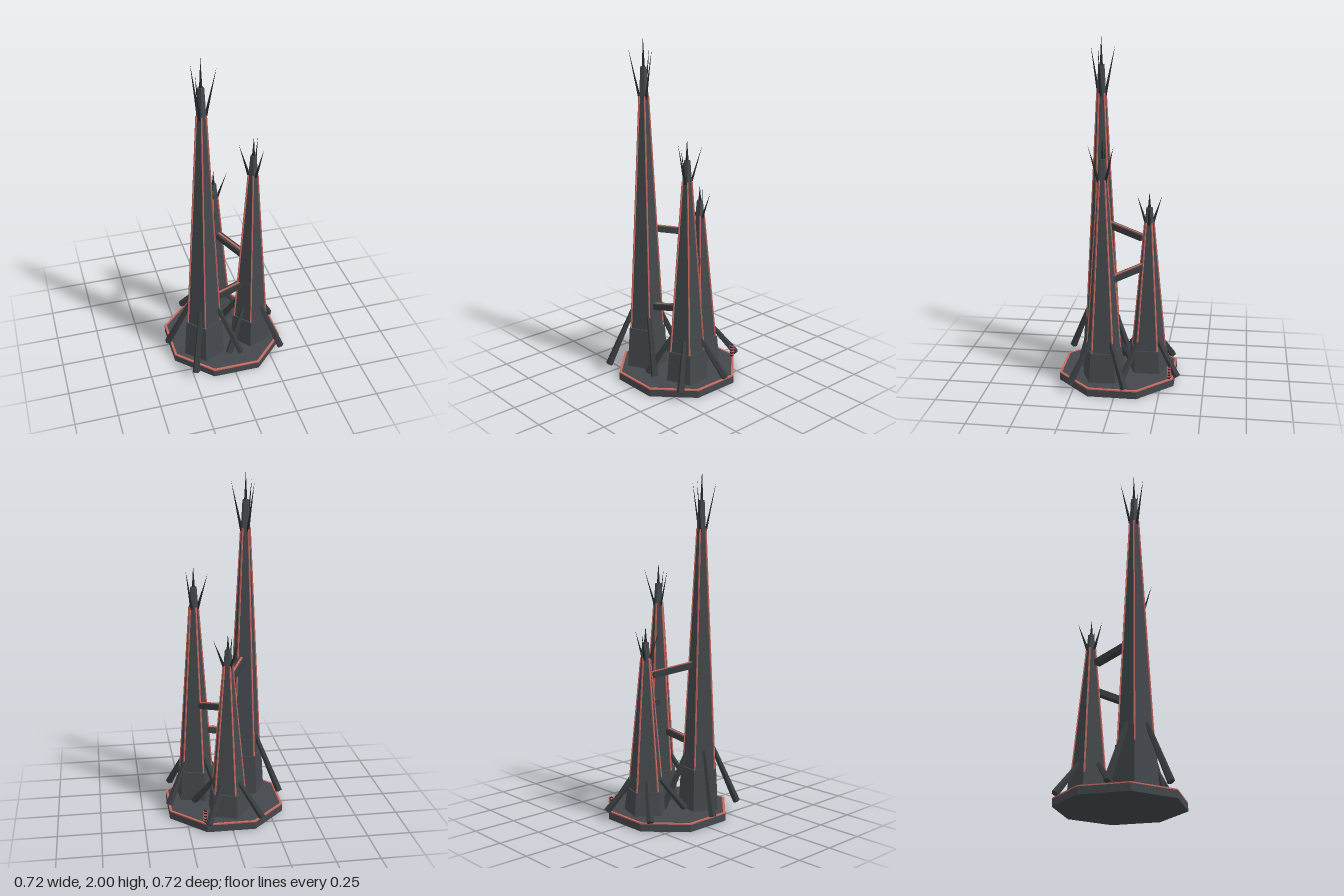
import * as THREE from 'three';

const makeMat = (name, color) => {
  const m = new THREE.MeshStandardMaterial({ color });
  m.name = name;
  return m;
};
const stone = makeMat('dark stone', 0x44484c);
const strut = makeMat('strut grey', 0x393d40);
const metal = makeMat('black metal', 0x25292b);
const trim = makeMat('red trim', 0xc8695e);

const rad = THREE.MathUtils.degToRad;
const BASE_TOP = 0.05;

function add(parent, name, geometry, material) {
  const mesh = new THREE.Mesh(geometry, material);
  mesh.name = name;
  parent.add(mesh);
  return mesh;
}

// Faceted prism or frustum with flat normals; angle is measured from +x towards +z
function prism(rTop, rBottom, y0, y1, sides, angle = 0) {
  const g = new THREE.CylinderGeometry(rTop, rBottom, y1 - y0, sides, 1, false, Math.PI / 2 - angle);
  g.translate(0, (y0 + y1) / 2, 0);
  const flat = g.toNonIndexed();
  flat.computeVertexNormals();
  return flat;
}

// Point at a radius, height and angle around the vertical axis
const polar = (r, y, a) => new THREE.Vector3(r * Math.cos(a), y, r * Math.sin(a));

// Tapered round-ish beam from a to b
function beam(parent, name, a, b, rA, rB, sides, material) {
  const dir = b.clone().sub(a);
  const mesh = add(parent, name, prism(rB, rA, 0, dir.length(), sides), material);
  mesh.position.copy(a);
  mesh.quaternion.setFromUnitVectors(new THREE.Vector3(0, 1, 0), dir.normalize());
  return mesh;
}

// Group whose z axis runs from a to b, with its origin half way
function between(parent, name, a, b) {
  const g = new THREE.Group();
  g.name = name;
  g.position.copy(a).lerp(b, 0.5);
  g.lookAt(b);
  parent.add(g);
  return g;
}

function makeBase() {
  const base = new THREE.Group();
  base.name = 'base';
  const k = 1 / Math.cos(Math.PI / 8);
  const a = Math.PI / 8;
  add(base, 'baseSlab', prism(0.338 * k, 0.338 * k, 0, 0.042, 8, a), stone);
  add(base, 'baseTrim', prism(0.338 * k, 0.338 * k, 0.042, 0.049, 8, a), trim);
  add(base, 'baseDeck', prism(0.324 * k, 0.324 * k, 0.043, BASE_TOP, 8, a), stone);
  base.position.set(0.008, 0, 0.012);
  return base;
}

function makeTower({ name, x, z, height, angle, clawAngle }) {
  const tower = new THREE.Group();
  tower.name = name;
  tower.position.set(x, BASE_TOP, z);
  const plinthTop = 0.135 * height;
  const rBody = 0.102, rTop = 0.019;

  add(tower, 'plinth', prism(0.113, 0.128, 0, plinthTop, 5, angle), stone);
  add(tower, 'shaft', prism(rTop, rBody, plinthTop, height, 5, angle), stone);
  add(tower, 'spire', prism(0, 0.009, height, 1.093 * height, 5, angle), metal);

  // Red ribs along the five shaft edges
  for (let i = 0; i < 5; i++) {
    const a = angle + i * Math.PI * 2 / 5;
    const p = polar(rBody, plinthTop, a);
    const q = polar(rTop + 0.1 * (rBody - rTop), height * 0.91, a);
    const rib = between(tower, 'rib', p, q);
    add(rib, 'ribStrip', new THREE.BoxGeometry(0.008, 0.008, p.distanceTo(q)), trim);
  }
  // Four leaning buttresses
  for (let i = 0; i < 4; i++) {
    const a = angle + i * Math.PI / 2;
    beam(tower, 'buttress', polar(0.228, 0.006, a), polar(0.075, 0.197 * height, a), 0.022, 0.014, 5, strut);
  }
  // Three claws flaring around the top
  for (let i = 0; i < 3; i++) {
    const a = clawAngle + i * Math.PI * 2 / 3;
    beam(tower, 'claw', polar(0.022, 0.9 * height, a), polar(0.083, 1.06 * height, a), 0.009, 0, 4, metal);
  }
  return tower;
}

// Walkway with a red strip on top
function makeBridge(parent, from, to, yFrom, yTo) {
  const a = new THREE.Vector3(from.x, yFrom, from.z);
  const b = new THREE.Vector3(to.x, yTo, to.z);
  const p = a.clone().lerp(b, 0.14), q = a.clone().lerp(b, 0.87);
  const bridge = between(parent, 'bridge', p, q);
  const len = p.distanceTo(q);
  add(bridge, 'bridgeDeck', new THREE.BoxGeometry(0.042, 0.034, len), strut);
  add(bridge, 'bridgeStrip', new THREE.BoxGeometry(0.012, 0.008, len), trim).position.y = 0.017;
}

// Small banded post near the back corner of the base
function makePost() {
  const post = new THREE.Group();
  post.name = 'post';
  add(post, 'postCore', new THREE.BoxGeometry(0.014, 0.075, 0.014), metal).position.y = 0.0375;
  for (let i = 0; i < 4; i++) {
    add(post, 'postBand', new THREE.BoxGeometry(0.022, 0.006, 0.022), trim).position.y = 0.014 + i * 0.018;
  }
  post.position.set(0.156, BASE_TOP, -0.3);
  return post;
}

export function createModel() {
  const model = new THREE.Group();
  model.name = 'spireCluster';
  const tall = { name: 'tallTower', x: -0.14, z: 0.135, height: 1.784, angle: rad(27), clawAngle: rad(4) };
  const middle = { name: 'middleTower', x: 0.169, z: 0.085, height: 1.3, angle: rad(-40), clawAngle: rad(184) };
  const short = { name: 'shortTower', x: 0.006, z: -0.162, height: 0.99, angle: rad(36), clawAngle: rad(-4) };

  model.add(makeBase(), makePost());
  for (const t of [tall, middle, short]) model.add(makeTower(t));
  makeBridge(model, tall, short, 0.905, 0.842);
  makeBridge(model, tall, middle, 0.41, 0.48);
  makeBridge(model, middle, short, 0.627, 0.697);
  return model;
}
